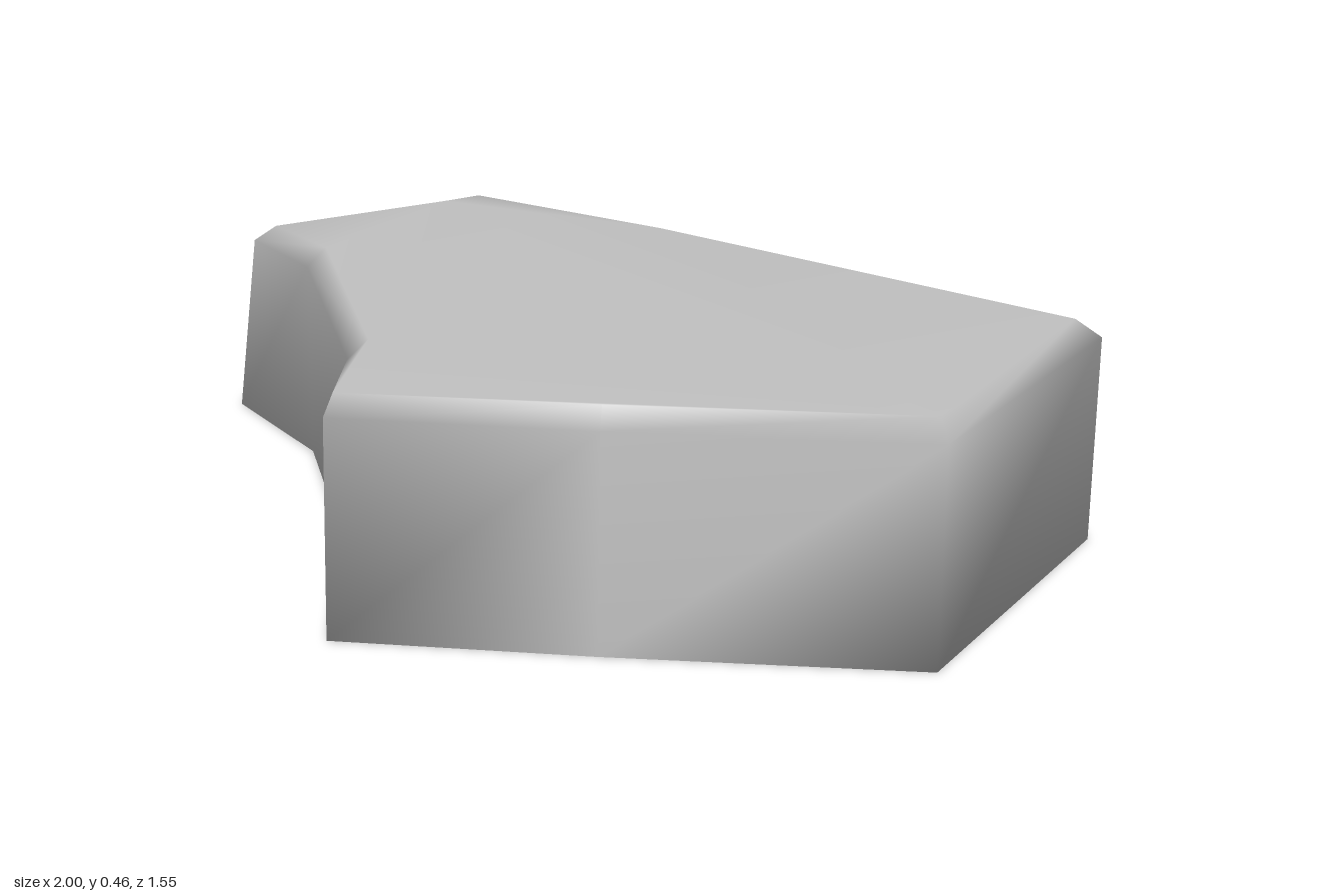
import * as THREE from 'three';

// Cross-sections as [x, z], clockwise seen from above, starting at the sloped end
const base = [[-1, -0.28], [-0.85, -0.63], [-0.79, -0.78], [-0.07, -0.66], [1, -0.39],
  [0.97, 0.37], [0.42, 0.6], [-0.04, 0.775], [-0.2, 0.45], [-0.66, -0.08]];
const rim = [[-0.9, -0.22], [-0.69, -0.63], [-0.65, -0.75], [-0.07, -0.66], [1, -0.39],
  [0.97, 0.37], [0.42, 0.595], [-0.04, 0.765], [-0.2, 0.45], [-0.66, -0.08]];
const top = [[-0.84, -0.22], [-0.64, -0.61], [-0.6, -0.7], [-0.08, -0.62], [0.955, -0.355],
  [0.945, 0.345], [0.41, 0.57], [-0.035, 0.74], [-0.165, 0.43], [-0.63, -0.11]];
const N = base.length;
const END_EDGES = 2; // the first two edges form the sloped end

function buildGeometry(indices) {
  const positions = [[base, 0], [rim, 0.42], [top, 0.46]]
    .flatMap(([ring, y]) => ring.flatMap(([x, z]) => [x, y, z]));
  const geometry = new THREE.BufferGeometry();
  geometry.setAttribute('position', new THREE.Float32BufferAttribute(positions, 3));
  geometry.setIndex(indices);
  geometry.computeVertexNormals();
  return geometry;
}

// Quad strip face between two neighbouring rings
function wall(level, i) {
  const j = (i + 1) % N, b = level * N, t = b + N;
  return [b + j, b + i, t + i, b + j, t + i, t + j];
}

// Flat cap over a ring, facing up or down
function cap(ring, offset, up) {
  const points = ring.map(([x, z]) => new THREE.Vector2(x, z));
  return THREE.ShapeUtils.triangulateShape(points, []).flatMap(([a, b, c]) => {
    const area = THREE.ShapeUtils.area([points[a], points[b], points[c]]);
    const tri = (area < 0) === up ? [a, b, c] : [a, c, b];
    return tri.map((k) => k + offset);
  });
}

export function createModel() {
  const group = new THREE.Group();
  group.name = 'stoneSlab';
  const stone = new THREE.MeshStandardMaterial({ color: 0xc0c0c0 });
  stone.name = 'stone grey';

  // Slab body: walls, bevelled rim, top and underside with shared smooth normals
  const body = [...cap(base, 0, false), ...cap(top, 2 * N, true)];
  const end = [];
  for (let i = 0; i < N; i++) {
    (i < END_EDGES ? end : body).push(...wall(0, i));
    body.push(...wall(1, i));
  }
  const slab = new THREE.Mesh(buildGeometry(body), stone);
  slab.name = 'slabBody';

  // Sloped end, kept separate so its edges stay crisp
  const slope = new THREE.Mesh(buildGeometry(end), stone);
  slope.name = 'slopedEnd';

  group.add(slab, slope);
  return group;
}
